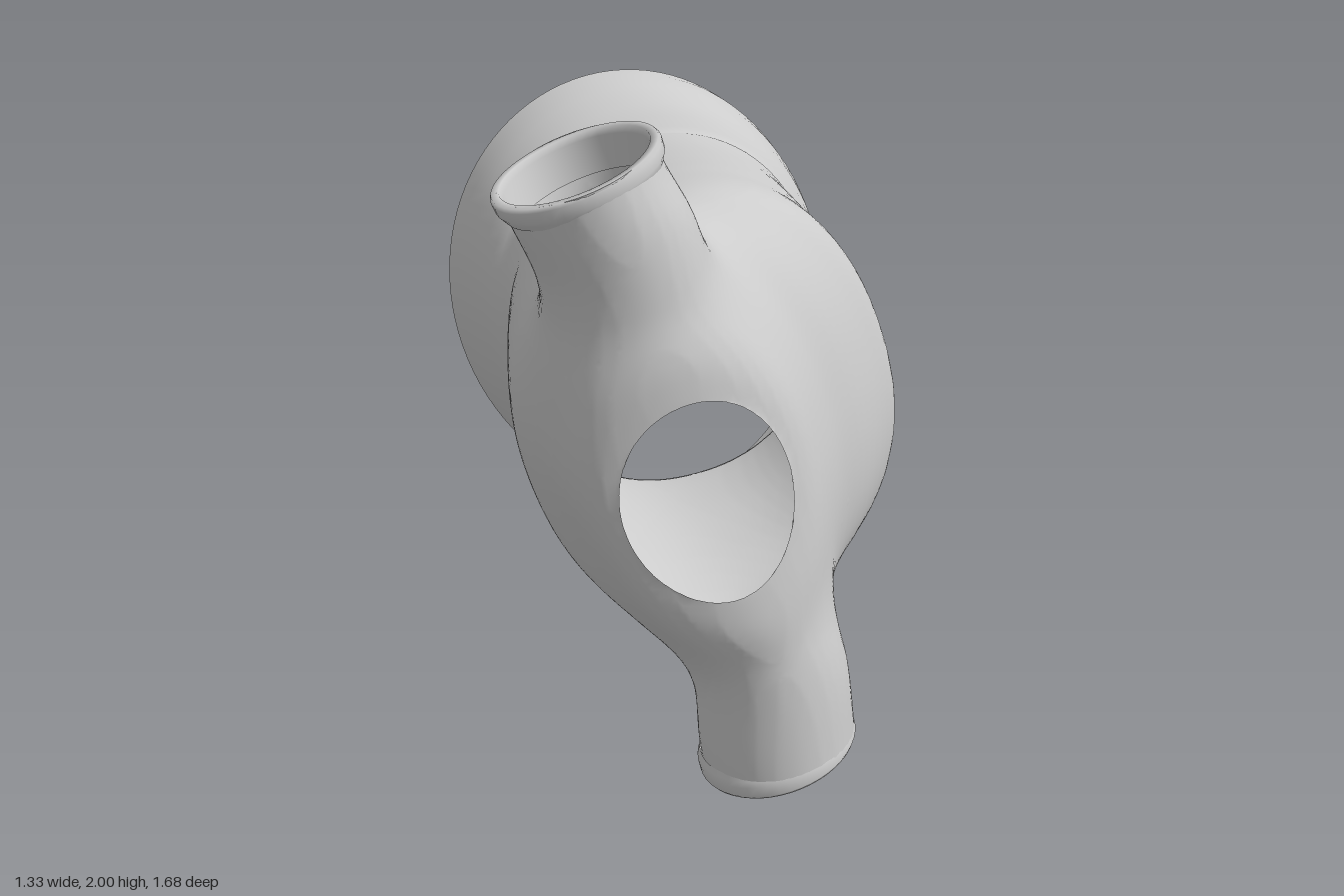
import * as THREE from 'three';

// Smooth lookup table: rows are [position, ...values]
function table(rows) {
  const size = rows[0].length - 1;
  const it = new THREE.CubicInterpolant(rows.map(r => r[0]), rows.flatMap(r => r.slice(1)), size, new Array(size).fill(0));
  return t => it.evaluate(THREE.MathUtils.clamp(t, rows[0][0], rows[rows.length - 1][0]));
}

// Body sections along z: centre x, centre y, half width, half height, tilt
const bodyAt = table([
  [-0.6, 0.065, 1.06, 0.523, 0.6, 0.18], [-0.4, 0.055, 1.07, 0.513, 0.59, 0.18], [-0.2, 0.035, 1.075, 0.53, 0.6, 0.22],
  [0, 0.02, 1.065, 0.546, 0.63, 0.28], [0.2, 0.018, 1.035, 0.566, 0.668, 0.34], [0.3, -0.02, 1.02, 0.532, 0.66, 0.34],
  [0.4, -0.055, 1.01, 0.478, 0.635, 0.33], [0.5, -0.085, 1, 0.402, 0.585, 0.3], [0.65, -0.105, 1, 0.315, 0.47, 0.28],
  [0.8, -0.13, 1, 0.25, 0.36, 0.25],
]);
// Upright trunk sections along y: centre x, half width, half depth
const trunkAt = table([
  [-0.15, 0.18, 0.23, 0.24], [0.08, 0.14, 0.232, 0.245], [0.4, 0.1, 0.23, 0.235], [0.7, -0.03, 0.26, 0.22],
  [1, -0.16, 0.29, 0.2], [1.3, -0.24, 0.275, 0.215], [1.6, -0.31, 0.24, 0.225], [1.78, -0.38, 0.246, 0.24],
  [1.92, -0.445, 0.235, 0.248], [2.15, -0.53, 0.235, 0.248],
]);
const POWER = 2.2, NECK = -0.5, TRUNK_Z = 0.587;

// Radial distance to an ellipse (power 2) or a slightly squarer oval
const norm = (u, v, power) => (Math.abs(u) ** power + Math.abs(v) ** power) ** (1 / power);
function oval(u, v, a, b, power) {
  const k = norm(u / a, v / b, power);
  return k < 1e-4 ? -Math.min(a, b) : Math.hypot(u, v) * (1 - 1 / k);
}
function smin(a, b, k) {
  const h = Math.max(k - Math.abs(a - b), 0) / k;
  return Math.min(a, b) - h * h * k / 4;
}
// Distance-like field of body and trunk, softly merged
function field(x, y, z) {
  const [cx, cy, a, b, tilt] = bodyAt(z);
  const c = Math.cos(tilt), s = Math.sin(tilt), dx = x - cx, dy = y - cy;
  const body = -smin(-oval(dx * c + dy * s, dy * c - dx * s, a, b, POWER), 0.72 - z, 0.08);
  const [tx, rx, rz] = trunkAt(y);
  return smin(body, oval(x - tx, z - TRUNK_Z, rx, rz, 2), 0.23);
}

// The two ports: rim centre and outward direction
const ports = [
  { name: 'topPort', c: new THREE.Vector3(-0.445, 1.915, TRUNK_Z), n: new THREE.Vector3(-0.35, 0.937, 0).normalize() },
  { name: 'bottomPort', c: new THREE.Vector3(0.14, 0.072, TRUNK_Z), n: new THREE.Vector3(0.3, -0.954, 0).normalize() },
];
// Each cut returns true for a point beyond it and moves that point onto the cut
const planeCut = (n, c) => p => {
  const d = p.clone().sub(c).dot(n);
  if (d > 0) p.addScaledVector(n, -d);
  return d > 0;
};
const holeCut = p => {
  const dy = p.y - 1.005, dx = p.x + 0.13 + 0.1 * dy;
  const e = Math.hypot(dx / 0.247, dy / 0.302);
  if (p.z < 0.5 || e >= 1 || e < 1e-3) return p.z > 0.5 && e < 1;
  p.y = 1.005 + dy / e;
  p.x = -0.13 - 0.1 * dy / e + dx / e;
  return true;
};
const cuts = [
  ...ports.map(o => planeCut(o.n, o.c)),
  planeCut(new THREE.Vector3(0, 0, -1), new THREE.Vector3(0, 0, NECK)),
  holeCut,
];

// Skin of the field: one vertex per crossed cell, one quad per crossed edge
function skin() {
  const h = 0.025, min = [-0.85, -0.12, -0.58], n = [65, 92, 62];
  const stride = [1, n[0], n[0] * n[1]], val = new Float32Array(n[0] * n[1] * n[2]);
  const each = f => {
    for (let k = 1; k < n[2] - 1; k++) for (let j = 1; j < n[1] - 1; j++) for (let i = 1; i < n[0] - 1; i++)
      f([i, j, k], i + j * stride[1] + k * stride[2]);
  };
  for (let k = 0, q = 0; k < n[2]; k++) for (let j = 0; j < n[1]; j++) for (let i = 0; i < n[0]; i++, q++)
    val[q] = field(min[0] + i * h, min[1] + j * h, min[2] + k * h);
  const pos = [], out = [], index = [], cell = new Map();
  each((g, q) => {
    const sum = new THREE.Vector3();
    let count = 0;
    for (let a = 0; a < 3; a++) for (let m = 0; m < 4; m++) {
      const b = (a + 1) % 3, c = (a + 2) % 3, o = [0, 0, 0];
      o[b] = m & 1; o[c] = m >> 1;
      const q0 = q + o[b] * stride[b] + o[c] * stride[c], v0 = val[q0], v1 = val[q0 + stride[a]];
      if ((v0 < 0) === (v1 < 0)) continue;
      o[a] = v0 / (v0 - v1);
      sum.add(new THREE.Vector3(...o));
      count++;
    }
    if (!count) return;
    sum.divideScalar(count).add(new THREE.Vector3(...g)).multiplyScalar(h).add(new THREE.Vector3(...min));
    cell.set(q, out.length);
    out.push(cuts.findIndex(cut => cut(sum)));
    pos.push(sum.x, sum.y, sum.z);
  });
  each((g, q) => {
    for (let a = 0; a < 3; a++) {
      const sb = stride[(a + 1) % 3], sc = stride[(a + 2) % 3], inside = val[q] < 0;
      if (inside === (val[q + stride[a]] < 0)) continue;
      const v = [q - sb - sc, q - sc, q, q - sb].map(id => cell.get(id));
      if (v.includes(undefined) || v.every(i => out[i] >= 0)) continue;
      if (!inside) v.reverse();
      index.push(v[0], v[1], v[2], v[0], v[2], v[3]);
    }
  });
  return surface(pos, index);
}

function surface(pos, index) {
  const geo = new THREE.BufferGeometry();
  geo.setAttribute('position', new THREE.Float32BufferAttribute(pos, 3));
  geo.setIndex(index);
  geo.computeVertexNormals();
  return geo;
}

// Flared rear collar: rings from the neck to the curved rim
function flare() {
  const rings = [
    [NECK, ...bodyAt(NECK)], [-0.52, 0.062, 1.06, 0.522, 0.598, 0.18], [-0.545, 0.062, 1.06, 0.54, 0.612, 0.18],
    [-0.57, 0.062, 1.06, 0.555, 0.642, 0.2], [-0.62, 0.062, 1.06, 0.57, 0.678, 0.22],
    [-0.7, 0.055, 1.06, 0.592, 0.722, 0.25], [-0.77, 0.045, 1.06, 0.608, 0.746, 0.27], [-0.84, 0.036, 1.055, 0.618, 0.758, 0.28],
  ];
  const S = 96, pos = [], index = [];
  rings.forEach(([z, cx, cy, a, b, t], r) => {
    const bend = (NECK - z) / 0.34;
    for (let i = 0; i <= S; i++) {
      const w = i / S * Math.PI * 2, k = norm(Math.cos(w), Math.sin(w), POWER - 0.2 * bend);
      const u = a * Math.cos(w) / k, v = b * Math.sin(w) / k;
      pos.push(cx + u * Math.cos(t) - v * Math.sin(t), cy + u * Math.sin(t) + v * Math.cos(t),
        z + bend * (0.06 * Math.sin(w) ** 2 + 0.015 * (1 - Math.cos(w))));
      if (r && i) {
        const p = r * (S + 1) + i, o = p - S - 1;
        index.push(o - 1, p, p - 1, o - 1, o, p);
      }
    }
  });
  return surface(pos, index);
}

export function createModel() {
  const model = new THREE.Group();
  const mat = new THREE.MeshStandardMaterial({ color: 0xcccccc, side: THREE.DoubleSide });
  const add = (name, geo) => {
    const mesh = new THREE.Mesh(geo, mat);
    mesh.name = name;
    model.add(mesh);
    return mesh;
  };
  add('bodyShell', skin());
  add('rearFlare', flare());

  // Lipped rims with a short inner sleeve
  const lip = [[0.205, -0.12], [0.207, -0.02], [0.212, 0], [0.234, 0], [0.24, -0.01], [0.238, -0.04], [0.23, -0.055], [0.222, -0.07]]
    .map(p => new THREE.Vector2(...p));
  for (const { name, c, n } of ports) {
    const rim = add(name + 'Rim', new THREE.LatheGeometry(lip, 48));
    rim.position.copy(c);
    rim.quaternion.setFromUnitVectors(new THREE.Vector3(0, 1, 0), n);
    rim.scale.z = 1.04;
  }
  return model;
}
